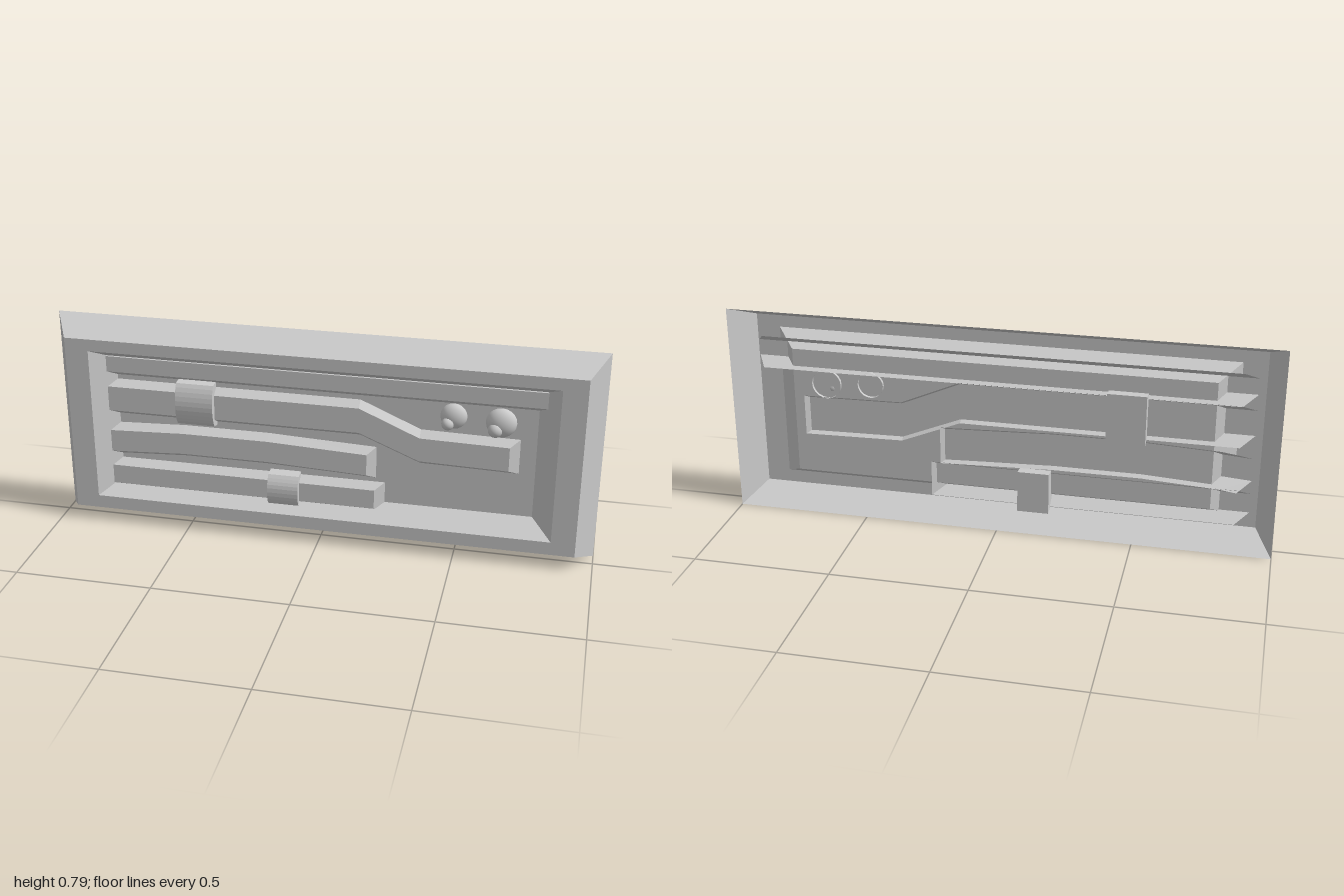
import * as THREE from 'three';

const material = new THREE.MeshStandardMaterial({ color: 0xcccccc, flatShading: true, side: THREE.DoubleSide });
const smooth = new THREE.MeshStandardMaterial({ color: 0xcccccc, side: THREE.DoubleSide });

// Skin rows of points with flat quads; optionally cap the last row of four.
function loft(rows, closed, cap) {
  const pos = [];
  const quad = (a, b, c, d) => pos.push(...a, ...b, ...c, ...a, ...c, ...d);
  for (let k = 0; k < rows.length - 1; k++) {
    const a = rows[k], b = rows[k + 1], n = a.length;
    for (let i = 0; i < (closed ? n : n - 1); i++) {
      const j = (i + 1) % n;
      quad(a[i], a[j], b[j], b[i]);
    }
  }
  if (cap) quad(...rows[rows.length - 1]);
  const g = new THREE.BufferGeometry();
  g.setAttribute('position', new THREE.Float32BufferAttribute(pos, 3));
  g.computeVertexNormals();
  return g;
}

const FLOOR = -0.02, FRONT = 0.013, BACK = -0.035;

export function createModel() {
  const group = new THREE.Group();
  const add = (name, geometry, mat = material) => {
    const mesh = new THREE.Mesh(geometry, mat);
    mesh.name = name;
    group.add(mesh);
    return mesh;
  };

  // Tapered frame, front rim, sloping recess walls and recess floor
  const ring = (w, y0, y1, z) => [[-w, y0, z], [w, y0, z], [w, y1, z], [-w, y1, z]];
  add('recessedFrame', loft([
    ring(1, 0, 0.79, -0.06),
    ring(0.935, 0.055, 0.735, 0.065),
    ring(0.848, 0.105, 0.69, 0.065),
    ring(0.772, 0.155, 0.64, FLOOR),
  ], true, true));

  // Bevelled conduits, open at the back: stations are [x, front bottom y, front top y]
  const conduit = (name, stations, endBevel) => {
    const spread = 0.031, last = stations.length - 1;
    const rows = stations.map(([x, y0, y1], i) => {
      const xb = i === 0 ? x + 0.05 : i === last ? x + endBevel : x;
      return [[xb, y1 + spread, BACK], [x, y1, FRONT], [x, y0, FRONT], [xb, y0 - spread, BACK]];
    });
    add(name, loft(rows, false, endBevel > 0));
  };
  conduit('topConduit', [[-0.91, 0.595, 0.655], [0.91, 0.595, 0.655]], -0.03);
  conduit('bentConduit', [[-0.91, 0.44, 0.535], [0.14, 0.44, 0.535], [0.36, 0.35, 0.44], [0.68, 0.343, 0.434]], 0.05);
  conduit('curvedConduit', [[-0.91, 0.265, 0.35], [-0.8, 0.273, 0.358], [-0.52, 0.288, 0.37],
    [-0.2, 0.288, 0.37], [0.17, 0.273, 0.354]], 0.045);
  conduit('bottomConduit', [[-0.91, 0.14, 0.214], [0.2, 0.14, 0.214]], 0.05);

  // Clamps with a rounded front, wrapped over two conduits
  const clamp = (name, x0, x1, y0, y1) => {
    const mid = (y0 + y1) / 2, s = new THREE.Shape();
    // shape x runs along -z, shape y is height
    s.moveTo(0.068, y0 - 0.02);
    s.lineTo(0.068, y1 + 0.01);
    s.lineTo(-0.018, y1);
    s.bezierCurveTo(-0.034, y1 - 0.02, -0.042, mid + 0.03, -0.042, mid);
    s.bezierCurveTo(-0.042, mid - 0.03, -0.034, y0 + 0.02, -0.018, y0);
    s.closePath();
    const g = new THREE.ExtrudeGeometry(s, { depth: x1 - x0, bevelEnabled: false, curveSegments: 5 });
    g.rotateY(Math.PI / 2);
    g.translate(x0, 0, 0);
    add(name, g);
  };
  clamp('upperClamp', -0.535, -0.395, 0.415, 0.575);
  clamp('lowerClamp', -0.195, -0.08, 0.115, 0.242);

  // Domed knobs with an off-centre bead and an open collar behind
  for (const [x, y, r, bx, by, br] of [
    [0.475, 0.525, 0.048, 0.457, 0.503, 0.023],
    [0.643, 0.515, 0.055, 0.625, 0.495, 0.027],
  ]) {
    const dome = new THREE.SphereGeometry(r, 20, 8, 0, Math.PI * 2, 0, Math.PI / 2);
    dome.rotateX(Math.PI / 2);
    dome.scale(1, 1, 0.7);
    add('knobDome', dome, smooth).position.set(x, y, FLOOR);
    const collar = new THREE.CylinderGeometry(r, r, 0.012, 20, 1, true);
    collar.rotateX(Math.PI / 2);
    add('knobCollar', collar, smooth).position.set(x, y, FLOOR - 0.006);
    add('knobBead', new THREE.SphereGeometry(br, 14, 10), smooth).position.set(bx, by, 0.005);
  }
  return group;
}
